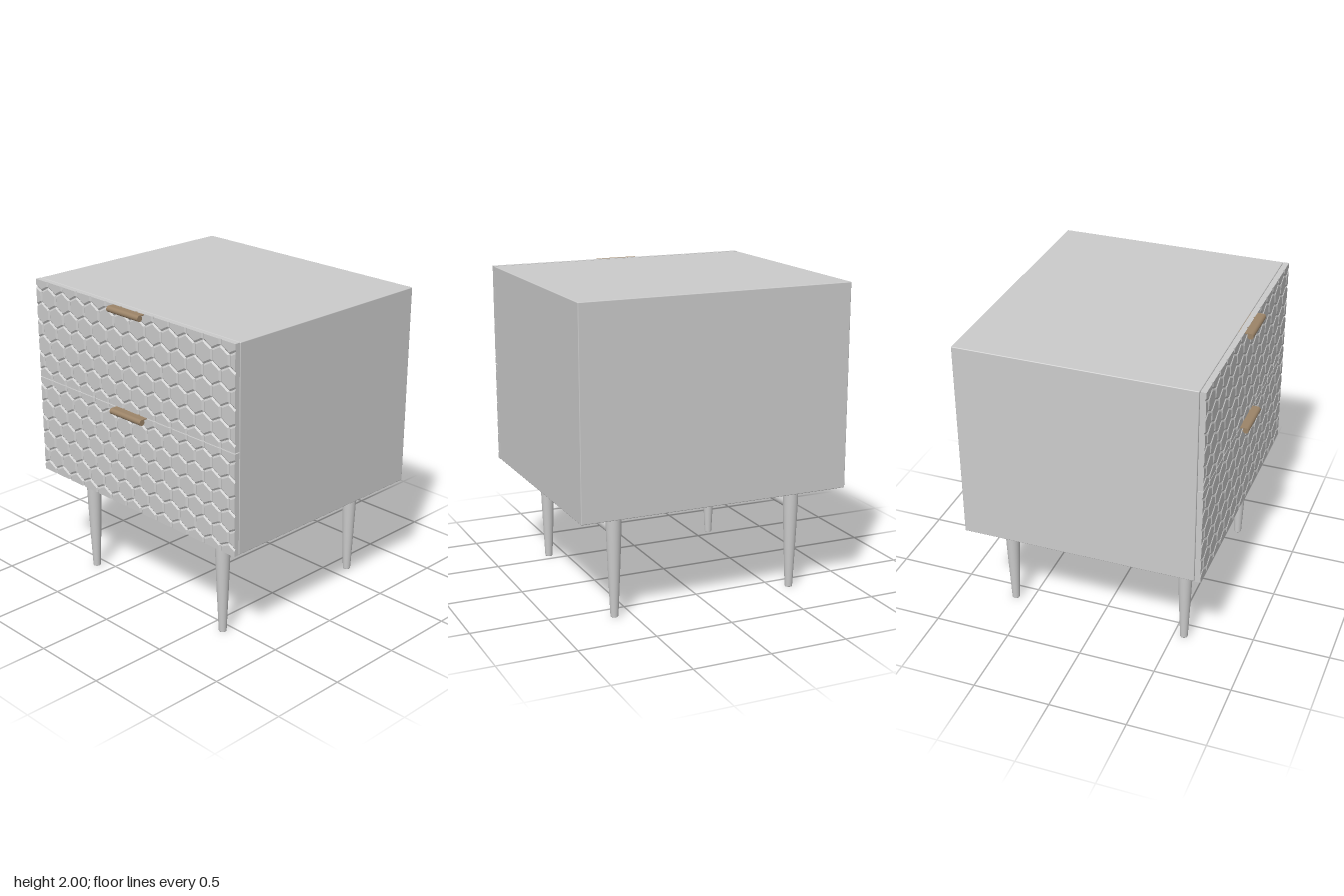
import * as THREE from 'three';
import { RoundedBoxGeometry } from 'three/addons/geometries/RoundedBoxGeometry.js';

const grey = new THREE.MeshStandardMaterial({ color: 0xcccccc });
const panelMat = new THREE.MeshStandardMaterial({ color: 0xcccccc, flatShading: true });
const brass = new THREE.MeshStandardMaterial({ color: 0x9c8468 });

const HALF_W = 0.893, BOTTOM = 0.687, TOP = 2;
const BACK = -0.805, BODY_FRONT = 0.71, FRONT = 0.75;

function addMesh(parent, name, geometry, material, x = 0, y = 0, z = 0) {
  const mesh = new THREE.Mesh(geometry, material);
  mesh.name = name;
  mesh.position.set(x, y, z);
  parent.add(mesh);
  return mesh;
}

// Keep the part of a polygon where sign * p[axis] <= sign * limit
function clip(poly, axis, sign, limit) {
  const out = [];
  poly.forEach((a, i) => {
    const b = poly[(i + 1) % poly.length];
    const da = sign * (limit - a[axis]), db = sign * (limit - b[axis]);
    if (da >= 0) out.push(a);
    if ((da > 0 && db < 0) || (da < 0 && db > 0)) {
      const t = da / (da - db);
      const p = a.map((v, k) => v + (b[k] - v) * t);
      p[axis] = limit;
      out.push(p);
    }
  });
  return out;
}

// Drawer front covered in bevelled hexagons, trimmed to its rectangle
function hexPanel(y0, y1) {
  const pos = [];
  const w = 0.1407, pitch = (y1 - y0) / 6, peak = 0.019, inset = 0.012, depth = 0.008;
  const limits = [[0, 1, HALF_W], [0, -1, -HALF_W], [1, 1, y1], [1, -1, y0]];
  const addPoly = (poly) => {
    for (let i = 1; i < poly.length - 1; i++) pos.push(...poly[0], ...poly[i], ...poly[i + 1]);
  };
  const addClipped = (source) => {
    let poly = source;
    for (const l of limits) poly = clip(poly, ...l);
    if (poly.length < 3) return;
    addPoly(poly);
    // Side walls wherever the tile meets the panel's border
    poly.forEach((a, i) => {
      const b = poly[(i + 1) % poly.length];
      if (limits.some(([axis, , v]) => Math.abs(a[axis] - v) < 1e-7 && Math.abs(b[axis] - v) < 1e-7)) {
        addPoly([a, [a[0], a[1], BODY_FRONT + 0.004], [b[0], b[1], BODY_FRONT + 0.004], b]);
      }
    });
  };
  const hex = (cx, cy, inside, z) => {
    const hw = w / 2 - inside, lo = pitch / 2 - peak - inside * 0.5, hi = pitch / 2 + peak - inside;
    return [[hw, -lo], [hw, lo], [0, hi], [-hw, lo], [-hw, -lo], [0, -hi]]
      .map(([x, y]) => [cx + x, cy + y, z]);
  };
  for (let row = 0; row <= 6; row++) {
    for (let col = -7; col <= 7; col++) {
      const cx = (col + (row % 2 ? 0.5 : 0)) * w, cy = y0 + row * pitch;
      const outer = hex(cx, cy, 0, FRONT - depth), inner = hex(cx, cy, inset, FRONT);
      addClipped(inner);
      for (let i = 0; i < 6; i++) {
        const j = (i + 1) % 6;
        addClipped([outer[i], outer[j], inner[j], inner[i]]);
      }
    }
  }
  // Flat back
  const z = BODY_FRONT + 0.004;
  addPoly([[-HALF_W, y0, z], [-HALF_W, y1, z], [HALF_W, y1, z], [HALF_W, y0, z]]);
  const g = new THREE.BufferGeometry();
  g.setAttribute('position', new THREE.Float32BufferAttribute(pos, 3));
  g.computeVertexNormals();
  return g;
}

// Edge pull: thin tab that ends in a rolled bar
function addHandle(parent, name, top) {
  const handle = new THREE.Group();
  handle.name = name;
  const width = 0.28;
  addMesh(handle, 'handleTab', new THREE.BoxGeometry(width, 0.006, 0.075), brass, 0, top - 0.005, 0.7475);
  const bar = addMesh(handle, 'handleBar', new THREE.CylinderGeometry(0.019, 0.019, width, 24), brass,
    0, top - 0.021, 0.785);
  bar.rotation.z = Math.PI / 2;
  parent.add(handle);
}

export function createModel() {
  const model = new THREE.Group();
  model.name = 'nightstand';

  // Cabinet body
  addMesh(model, 'cabinetBody',
    new RoundedBoxGeometry(HALF_W * 2, TOP - BOTTOM, BODY_FRONT - BACK, 2, 0.005), grey,
    0, (TOP + BOTTOM) / 2, (BODY_FRONT + BACK) / 2);

  // Drawers and pulls
  const seam = 1.343;
  addMesh(model, 'upperDrawerFront', hexPanel(seam + 0.003, TOP), panelMat);
  addMesh(model, 'lowerDrawerFront', hexPanel(BOTTOM, seam - 0.003), panelMat);
  addHandle(model, 'upperHandle', TOP);
  addHandle(model, 'lowerHandle', seam + 0.002);

  // Tapered legs with a stretcher along each side
  const profile = [[0, 0], [0.023, 0], [0.025, 0.004], [0.036, 0.25], [0.044, 0.45], [0.048, 0.58], [0.049, BOTTOM + 0.002]]
    .map(([r, y]) => new THREE.Vector2(r, y));
  const legGeo = new THREE.LatheGeometry(profile, 28);
  const frontZ = 0.568, backZ = -0.614;
  for (const [side, x] of [['left', 0.612], ['right', -0.612]]) {
    addMesh(model, side + 'FrontLeg', legGeo, grey, x, 0, frontZ);
    addMesh(model, side + 'BackLeg', legGeo, grey, x, 0, backZ);
    const rail = addMesh(model, side + 'Stretcher',
      new THREE.CylinderGeometry(0.034, 0.034, frontZ - backZ - 0.04, 24), grey,
      x, 0.56, (frontZ + backZ) / 2);
    rail.rotation.x = Math.PI / 2;
  }
  return model;
}
